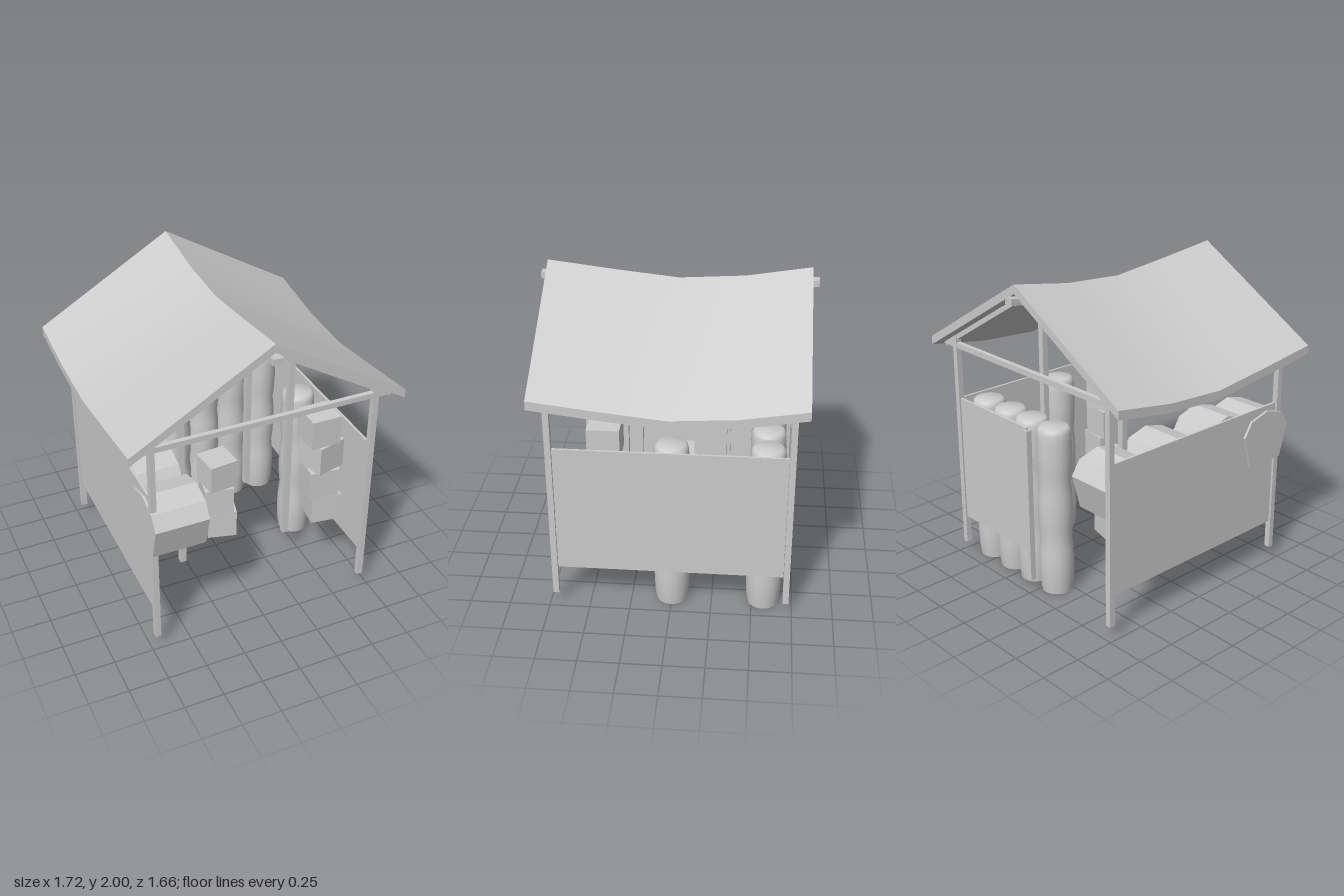
import * as THREE from 'three';
import { toCreasedNormals } from 'three/addons/utils/BufferGeometryUtils.js';

const smooth = new THREE.MeshStandardMaterial({ color: 0xcccccc });
const flat = new THREE.MeshStandardMaterial({ color: 0xcccccc, flatShading: true });

// How far the roof sags at each station along z
const SAG = [[-0.79, 0], [-0.395, 0.065], [0, 0.09], [0.395, 0.048], [0.79, 0]];
function sagAt(z) {
  for (let i = 1; i < SAG.length; i++) {
    const [z0, d0] = SAG[i - 1], [z1, d1] = SAG[i];
    if (z >= z0 && z <= z1) return d0 + (d1 - d0) * (z - z0) / (z1 - z0);
  }
  return 0;
}

// Extrude an outline along z and let it follow the sag
function saggingExtrusion(points, length) {
  const shape = new THREE.Shape(points.map(([x, y]) => new THREE.Vector2(x, y)));
  const geo = new THREE.ExtrudeGeometry(shape, { depth: length, steps: 4, bevelEnabled: false });
  geo.translate(0, 0, -length / 2);
  const p = geo.attributes.position;
  for (let i = 0; i < p.count; i++) p.setY(i, p.getY(i) - sagAt(p.getZ(i)));
  return toCreasedNormals(geo, 0.5);
}

export function createModel() {
  const model = new THREE.Group();

  function add(name, geo, mat, x = 0, y = 0, z = 0, ry = 0) {
    const mesh = new THREE.Mesh(geo, mat);
    mesh.name = name;
    mesh.position.set(x, y, z);
    mesh.rotation.y = ry;
    model.add(mesh);
    return mesh;
  }
  const box = (name, w, h, d, x, y, z, ry) =>
    add(name, new THREE.BoxGeometry(w, h, d), flat, x, y, z, ry);
  const post = (name, w, x, z, y0, y1) => box(name, w, y1 - y0, w, x, (y0 + y1) / 2, z);

  // Sagging gable roof and its ridge beam
  add('roof', saggingExtrusion([[0, 2], [-0.86, 1.495], [-0.86, 1.44],
    [0, 1.945], [0.86, 1.44], [0.86, 1.495]], 1.58), smooth);
  add('ridgeBeam', saggingExtrusion([[-0.03, 1.89], [0.03, 1.89], [0.03, 1.93], [-0.03, 1.93]], 1.66), smooth);

  // Frame: posts, tie beams and gable rafters
  const rafterShape = new THREE.Shape([[0, 1.935], [0, 1.9], [0.8, 1.43], [0.8, 1.465]]
    .map(([x, y]) => new THREE.Vector2(x, y)));
  for (const sz of [-1, 1]) {
    for (const sx of [-1, 1]) {
      post('cornerPost', 0.037, sx * 0.705, sz * 0.71, 0.08, 1.52);
      post('innerPost', 0.04, sx * 0.365, sz * 0.297, 0.23, 1.69);
      const rafter = new THREE.ExtrudeGeometry(rafterShape, { depth: 0.03, bevelEnabled: false });
      rafter.translate(0, 0, -0.015);
      add('rafter', rafter, flat, 0, 0, sz * 0.71, sx > 0 ? 0 : Math.PI);
    }
    box('tieBeam', 1.64, 0.035, 0.03, 0, 1.46, sz * 0.71);
  }
  post('backPanelPost', 0.037, 0.025, -0.71, 0.08, 1.09);

  // Side walls and the half-width back wall
  for (const sx of [-1, 1]) box('sideWall', 0.015, 0.835, 1.38, sx * 0.703, 0.6875, 0);
  box('backWall', 0.67, 0.835, 0.015, 0.36, 0.6875, -0.71);

  // Stacked barrels: three bulging drums per column
  const profile = [new THREE.Vector2(0, 0), new THREE.Vector2(0.096, 0)];
  for (let i = 0; i < 3; i++) {
    const y = i * 0.368;
    profile.push(new THREE.Vector2(0.105, y + 0.07), new THREE.Vector2(0.109, y + 0.18),
      new THREE.Vector2(0.106, y + 0.29));
    if (i < 2) profile.push(new THREE.Vector2(0.098, y + 0.368));
  }
  profile.push(new THREE.Vector2(0.104, 1.07), new THREE.Vector2(0.097, 1.095),
    new THREE.Vector2(0.084, 1.105), new THREE.Vector2(0, 1.105));
  const barrels = toCreasedNormals(new THREE.LatheGeometry(profile, 24), 0.8);
  for (const [x, z] of [[-0.055, -0.57], [0.155, -0.57], [0.365, -0.57], [0.585, -0.57], [0.585, 0]])
    add('barrelStack', barrels, smooth, x, 0, z);

  // Two crooked stacks of crates: x, bottom, z, turn
  for (const [x, y, z, turn] of [
    [0.03, 0.145, 0, -0.25], [0.005, 0.342, 0, -0.2], [0.01, 0.539, 0, 0.1],
    [0.57, 0.4, 0.4, -0.15], [0.545, 0.6, 0.4, -0.1], [0.55, 0.798, 0.4, 0.27], [0.525, 0.995, 0.4, 0],
  ]) box('crate', 0.196, 0.197, 0.196, x, y + 0.0985, z, turn);

  // Chests with tapered bodies and faceted arched lids, their ends facing sideways
  const outline = [new THREE.Vector2(-0.14, -0.215), new THREE.Vector2(0.14, -0.215)];
  for (let i = 0; i <= 4; i++) {
    const a = i * Math.PI / 4;
    outline.push(new THREE.Vector2(0.2 * Math.cos(a), 0.13 * Math.sin(a)));
  }
  // left edge, right edge, rim height, z
  for (const [x0, x1, rim, z] of [[-0.725, -0.39, 0.943, 0.6], [-0.69, -0.42, 0.99, 0.27],
    [-0.69, -0.36, 0.935, -0.1], [-0.69, -0.345, 0.905, -0.48]]) {
    const geo = new THREE.ExtrudeGeometry(new THREE.Shape(outline), { depth: x1 - x0, bevelEnabled: false });
    geo.rotateY(Math.PI / 2);
    add('chest', geo, flat, x0, rim, z);
  }

  return model;
}
